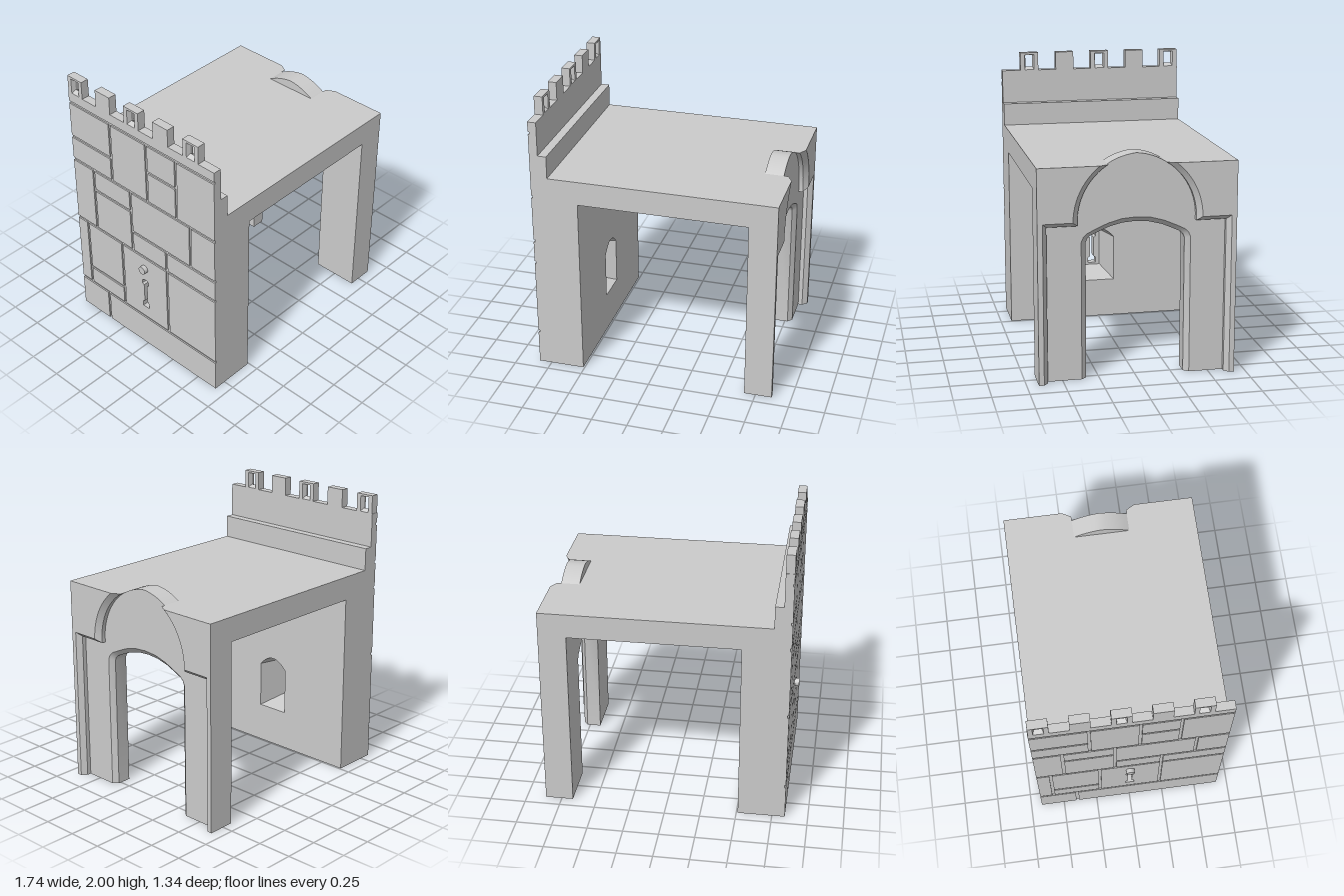
import * as THREE from 'three';
import { toCreasedNormals } from 'three/addons/utils/BufferGeometryUtils.js';

const material = new THREE.MeshStandardMaterial({ color: 0xcccccc });
const D = 0.67; // half depth in z

// Outlines are lists of [u, y] with u = -z, so that u, y, x is right-handed.
const flip = (pts) => pts.map(([u, y]) => [-u, y]);
const rect = (u0, u1, y0, y1) => [[u0, y0], [u1, y0], [u1, y1], [u0, y1]];
// Completes a right half that ends on the centre line
const mirrorHalf = (half) => [...half, ...flip(half.slice(0, -1)).reverse()];

// Solid lofted along x. Each ring is { x, loops: [outline, ...holes] }
function loft(rings) {
  const pos = [];
  const put = (p, x) => pos.push(x, p[1], -p[0]);
  const oriented = rings.map(({ x, loops }) => ({
    x,
    loops: loops.map((pts, i) => {
      const v = pts.map((p) => new THREE.Vector2(p[0], p[1]));
      return (THREE.ShapeUtils.area(v) > 0) === (i === 0) ? pts : [...pts].reverse();
    }),
  }));
  for (let k = 0; k + 1 < oriented.length; k++) {
    const lo = oriented[k], hi = oriented[k + 1];
    lo.loops.forEach((a, i) => {
      const b = hi.loops[i];
      for (let j = 0; j < a.length; j++) {
        const n = (j + 1) % a.length;
        put(a[j], lo.x); put(a[n], lo.x); put(b[n], hi.x);
        put(a[j], lo.x); put(b[n], hi.x); put(b[j], hi.x);
      }
    });
  }
  const cap = ({ x, loops }, order) => {
    const v = loops.map((l) => l.map((p) => new THREE.Vector2(p[0], p[1])));
    const flat = loops.flat();
    for (const f of THREE.ShapeUtils.triangulateShape(v[0], v.slice(1)))
      for (const i of order) put(flat[f[i]], x);
  };
  cap(oriented[0], [0, 2, 1]);
  cap(oriented[oriented.length - 1], [0, 1, 2]);
  const g = new THREE.BufferGeometry();
  g.setAttribute('position', new THREE.Float32BufferAttribute(pos, 3));
  return toCreasedNormals(g, 0.5);
}

// Pointed arch over the doorway: arc about (-C, 1.10) on the right side
const C = 0.0365, R = 0.4365, TOP = 1.47;
function pointedArc(r, a0, a1, n) {
  const pts = [];
  for (let i = 0; i <= n; i++) {
    const a = a0 + ((a1 - a0) * i) / n;
    pts.push([-C + r * Math.cos(a), 1.1 + r * Math.sin(a)]);
  }
  return pts;
}

// Window outline with a low curved head
function windowLoop(w, y0, spring, rise) {
  const half = [[w, y0]];
  for (let i = 0; i <= 6; i++) {
    const t = 1 - i / 6;
    half.push([w * t, spring + rise * (1 - t * t)]);
  }
  return mirrorHalf(half);
}

export function createModel() {
  const model = new THREE.Group();
  const add = (name, geometry, parent = model) => {
    const mesh = new THREE.Mesh(geometry, material);
    mesh.name = name;
    parent.add(mesh);
    return mesh;
  };
  const block = (name, x0, x1, y0, y1) =>
    add(name, new THREE.BoxGeometry(x1 - x0, y1 - y0, 2 * D)).position.set((x0 + x1) / 2, (y0 + y1) / 2, 0);

  // Arrow slit with widened ends
  const slit = mirrorHalf([[0, 0.35], [0.03, 0.35], [0.03, 0.39], [0.014, 0.4], [0.014, 0.55],
    [0.03, 0.56], [0.03, 0.59], [0.014, 0.6], [0, 0.6]]).slice(0, -1);

  // Thick wall: slit at the outside, splayed window niche at the inside
  const wall = rect(-D, D, 0, TOP);
  add('wallOuterLayer', loft([{ x: -0.83, loops: [wall, slit] }, { x: -0.77, loops: [wall, slit] }]));
  add('wallWithNiche', loft([
    { x: -0.77, loops: [wall, windowLoop(0.06, 0.335, 0.615, 0.025)] },
    { x: -0.51, loops: [wall, windowLoop(0.12, 0.285, 0.62, 0.07)] },
  ]));

  // Walkway slab, step and parapet
  block('floorSlab', -0.52, 0.67, 1.3, TOP);
  block('parapetStep', -0.83, -0.72, TOP, 1.63);
  block('parapet', -0.83, -0.78, 1.63, 1.87);

  // Merlons, every other one with a tapered opening
  const merlons = new THREE.Group();
  merlons.name = 'merlons';
  model.add(merlons);
  for (let i = 0; i < 5; i++) {
    const u = -0.467 + i * 0.2665;
    const outline = rect(u - 0.067, u + 0.067, 1.87, 2);
    const loops = (w, y0, y1) => (i % 2 ? [outline] : [outline, rect(u - w, u + w, y0, y1)]);
    add('merlon', loft([
      { x: -0.84, loops: loops(0.035, 1.873, 1.985) },
      { x: -0.81, loops: loops(0.026, 1.893, 1.978) },
      { x: -0.78, loops: loops(0.035, 1.873, 1.985) },
    ]), merlons);
  }

  // Stone facing: [z0, z1, y0, y1] of each block, separated by grooves
  const stones = [
    [-D, -0.395, 0, 0.25], [-0.395, D, 0, 0.25],
    [-D, -0.57, 0.25, 0.81], [-0.57, -0.22, 0.25, 0.4], [-0.57, -0.22, 0.4, 0.81],
    [-0.22, 0.22, 0.25, 0.81], [0.22, D, 0.25, 0.81],
    [-D, -0.47, 0.81, 1.32], [-0.47, -0.11, 0.81, 1.15], [-0.47, -0.11, 1.15, 1.32],
    [-0.11, 0.22, 0.81, 0.98], [0.22, D, 0.81, 0.98], [-0.11, 0.45, 0.98, 1.32], [0.45, D, 0.98, 1.32],
    [-D, -0.28, 1.32, 1.51], [-D, -0.28, 1.51, 1.79], [-0.28, 0.06, 1.32, 1.79],
    [0.06, 0.33, 1.32, 1.57], [0.06, 0.33, 1.57, 1.79], [0.33, D, 1.32, 1.79],
    [-D, D, 1.79, 1.87],
  ];
  const facing = new THREE.Group();
  facing.name = 'stoneFacing';
  model.add(facing);
  const inset = (v, lo, hi, d) => (v === lo || v === hi ? v : v + d);
  for (const [z0, z1, y0, y1] of stones) {
    const outline = rect(-inset(z1, -D, D, -0.01), -inset(z0, -D, D, 0.01),
      inset(y0, 0, 1.87, 0.01), inset(y1, 0, 1.87, -0.01));
    const loops = z0 === -0.22 ? [outline, slit] : [outline];
    add('stone', loft([{ x: -0.84, loops }, { x: -0.83, loops }]), facing);
  }
  const knob = add('knob', new THREE.CylinderGeometry(0.03, 0.03, 0.04, 24));
  knob.rotation.z = Math.PI / 2;
  knob.position.set(-0.85, 0.705, 0);

  // Doorway wall with arched crest and bevelled opening
  const crest = mirrorHalf(pointedArc(R, Math.asin(0.37 / R), Math.acos(C / R), 6));
  const doorWall = (half) => [[D, 0], [D, TOP], ...crest, [-D, TOP], [-D, 0],
    ...flip(mirrorHalf(half))];
  const narrow = doorWall([[0.335, 0], [0.335, 0.94], [0.325, 0.965], [0.305, 0.985], [0.25, 1.01],
    [0.18, 1.04], [0.09, 1.063], [0, 1.07]]);
  const wide = doorWall([[0.37, 0], [0.37, 0.95], [0.355, 0.985], [0.33, 1.008], [0.27, 1.037],
    [0.19, 1.072], [0.1, 1.097], [0, 1.105]]);
  add('doorwayWall', loft([
    { x: 0.67, loops: [narrow] }, { x: 0.77, loops: [narrow] }, { x: 0.8, loops: [wide] },
  ]));

  // Raised frame on each side of the doorway, bevelled towards the recess
  const frame = (edge, ledge, r) => [[D, 0], [D, TOP],
    ...pointedArc(r, Math.asin((ledge - 1.1) / r), Math.asin(0.37 / r), 12).reverse(),
    [edge, ledge], [edge, 0]];
  const inner = frame(0.605, 1.07, R), outer = frame(0.635, 1.1, R + 0.035);
  for (const side of [(p) => p, flip])
    add('doorwayFrame', loft([
      { x: 0.8, loops: [side(inner)] }, { x: 0.83, loops: [side(inner)] }, { x: 0.865, loops: [side(outer)] },
    ]));

  return model;
}
